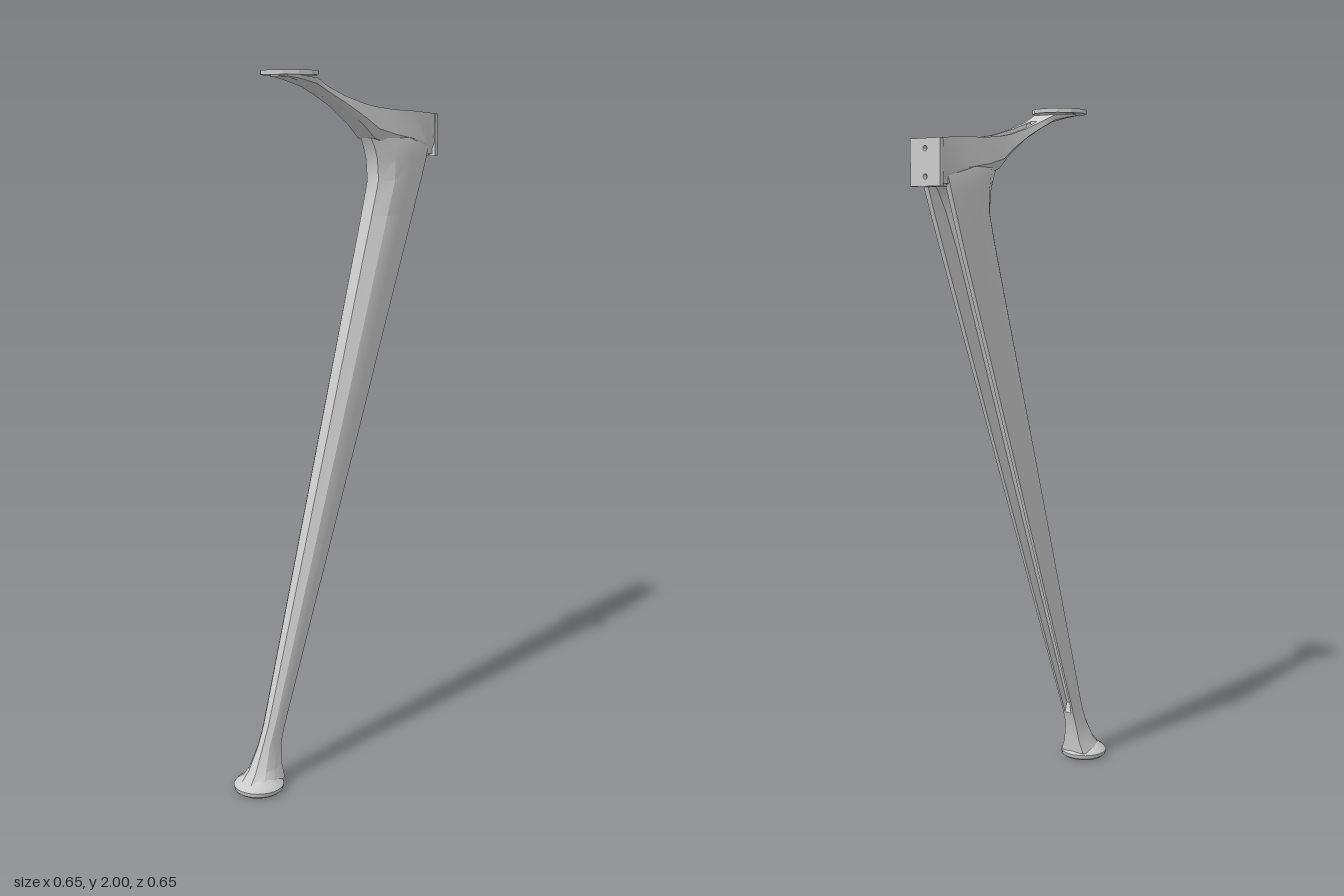
import * as THREE from 'three';
import { toCreasedNormals } from 'three/addons/utils/BufferGeometryUtils.js';

const material = new THREE.MeshStandardMaterial({ color: 0xcccccc, side: THREE.DoubleSide });

// Skin a row of equal-length closed loops of [x, y, z] points
function loft(loops, crease = 0.5) {
  const n = loops[0].length;
  const index = [];
  for (let i = 0; i < loops.length - 1; i++) {
    for (let j = 0; j < n; j++) {
      const k = (j + 1) % n;
      const a = i * n + j, b = i * n + k, c = (i + 1) * n + k, d = (i + 1) * n + j;
      index.push(a, b, c, a, c, d);
    }
  }
  const geometry = new THREE.BufferGeometry();
  geometry.setAttribute('position', new THREE.Float32BufferAttribute(loops.flat(2), 3));
  geometry.setIndex(index);
  return toCreasedNormals(geometry.toNonIndexed(), crease);
}

function holeAt(x, y, r, sides = 12) {
  const path = new THREE.Path();
  for (let i = 0; i <= sides; i++) {
    const t = -i / sides * Math.PI * 2;
    path[i ? 'lineTo' : 'moveTo'](x + r * Math.cos(t), y + r * Math.sin(t));
  }
  return path;
}

// The leg lies in one vertical plane: built along local x, then turned 45 degrees
export function createModel() {
  const model = new THREE.Group();
  const body = new THREE.Group();
  body.name = 'tableLeg';
  body.rotation.y = Math.PI / 4;
  model.add(body);

  const add = (name, geometry, x = 0, y = 0, z = 0) => {
    const mesh = new THREE.Mesh(geometry, material);
    mesh.name = name;
    mesh.position.set(x, y, z);
    body.add(mesh);
    return mesh;
  };

  // Tapered shaft with a channel down its back: [y, front, back, half width, channel depth]
  const shaftRows = [
    [0.025, -0.415, -0.29, 0.055, 0],
    [0.06, -0.383, -0.287, 0.038, 0],
    [0.12, -0.35, -0.28, 0.026, 0],
    [0.16, -0.332, -0.266, 0.025, 0],
    [0.19, -0.32, -0.255, 0.026, 0.6],
    [1.0, -0.06, 0.063, 0.045, 0.6],
    [1.6, 0.131, 0.3, 0.056, 0.6],
    [1.7, 0.161, 0.338, 0.059, 0.5],
    [1.76, 0.155, 0.36, 0.06, 0.3],
    [1.795, 0.142, 0.37, 0.059, 0],
    [1.82, 0.128, 0.375, 0.054, 0],
  ];
  add('shaft', loft(shaftRows.map(([y, front, back, w, depth]) => {
    const c = (front + back) / 2, h = (back - front) / 2;
    const half = [[-1, 0.35], [-0.55, 0.85], [0.1, 1], [1, 0.75], [1, 0.5], [1 - depth, 0.42]];
    const ring = [...half, ...half.map(([u, v]) => [u, -v]).reverse()];
    return ring.map(([u, v]) => [c + u * h, y, v * w]);
  })));

  // Round foot pad
  const footProfile = [[0, 0], [0.062, 0], [0.069, 0.006], [0.072, 0.018], [0.066, 0.026], [0.045, 0.04], [0.02, 0.06], [0, 0.065]];
  add('foot', toCreasedNormals(new THREE.LatheGeometry(
    footProfile.map(([r, y]) => new THREE.Vector2(r, y)), 28).toNonIndexed(), 0.6), -0.355, 0, 0);

  // Arm with an open pocket: [x, top, bottom, top half width, lower half width, pocket half width, pocket floor]
  const armRows = [
    [-0.245, 1.988, 1.983, 0.03, 0.03, 0.005, 1.988],
    [-0.2, 1.988, 1.976, 0.04, 0.036, 0.005, 1.988],
    [-0.13, 1.982, 1.96, 0.038, 0.036, 0.005, 1.982],
    [-0.075, 1.96, 1.938, 0.029, 0.034, 0.012, 1.96],
    [-0.075, 1.96, 1.938, 0.029, 0.034, 0.012, 1.95],
    [0, 1.935, 1.905, 0.031, 0.037, 0.019, 1.917],
    [0.08, 1.915, 1.858, 0.036, 0.043, 0.026, 1.872],
    [0.13, 1.907, 1.82, 0.039, 0.048, 0.029, 1.84],
    [0.2, 1.9, 1.8, 0.043, 0.054, 0.033, 1.828],
    [0.295, 1.896, 1.782, 0.046, 0.054, 0.036, 1.828],
    [0.295, 1.896, 1.782, 0.046, 0.054, 0.036, 1.896],
    [0.36, 1.892, 1.765, 0.047, 0.05, 0.036, 1.892],
    [0.405, 1.888, 1.768, 0.047, 0.047, 0.036, 1.888],
  ];
  add('arm', loft(armRows.map(([x, top, bottom, t, b, p, floor]) => {
    const half = [[b * 0.65, bottom], [b, bottom + (top - bottom) * 0.3], [t, top], [p, top], [p * 0.85, floor]];
    const ring = [...half.map(([w, y]) => [-w, y]), ...half.reverse()];
    return ring.map(([w, y]) => [x, y, w]);
  })));

  // Cross rib and screw tabs inside the pocket
  add('pocketRib', new THREE.BoxGeometry(0.01, 0.05, 0.054), 0.09, 1.882, 0);
  for (const side of [-1, 1]) {
    add('screwTab', new THREE.BoxGeometry(0.026, 0.05, 0.02), 0.283, 1.866, side * 0.029);
    add('tabScrew', new THREE.CylinderGeometry(0.005, 0.005, 0.006, 10), 0.283, 1.893, side * 0.029);
  }
  add('frontScrew', new THREE.CylinderGeometry(0.009, 0.009, 0.02, 12), -0.055, 1.942, 0);

  // Twelve-sided mounting plate with two screw holes and a hexagonal socket
  const disc = new THREE.Shape(holeAt(0, 0, 0.079, 12).getPoints().reverse());
  disc.holes.push(holeAt(0, 0.05, 0.007), holeAt(0, -0.05, 0.007), holeAt(0, 0, 0.011, 6));
  const discGeometry = new THREE.ExtrudeGeometry(disc, { depth: 0.012, bevelEnabled: false });
  discGeometry.rotateX(-Math.PI / 2);
  add('mountingPlate', discGeometry, -0.203, 1.988, 0);

  // End plate with two bolt holes
  const end = new THREE.Shape([[-0.05, 1.765], [0.05, 1.765], [0.05, 1.888], [-0.05, 1.888]]
    .map(([x, y]) => new THREE.Vector2(x, y)));
  end.holes.push(holeAt(0, 1.862, 0.007), holeAt(0, 1.79, 0.007));
  const endGeometry = new THREE.ExtrudeGeometry(end, { depth: 0.014, bevelEnabled: false });
  endGeometry.rotateY(Math.PI / 2);
  add('endPlate', endGeometry, 0.396, 0, 0);
  add('endBlock', new THREE.BoxGeometry(0.04, 0.11, 0.08), 0.376, 1.827, 0);

  return model;
}
